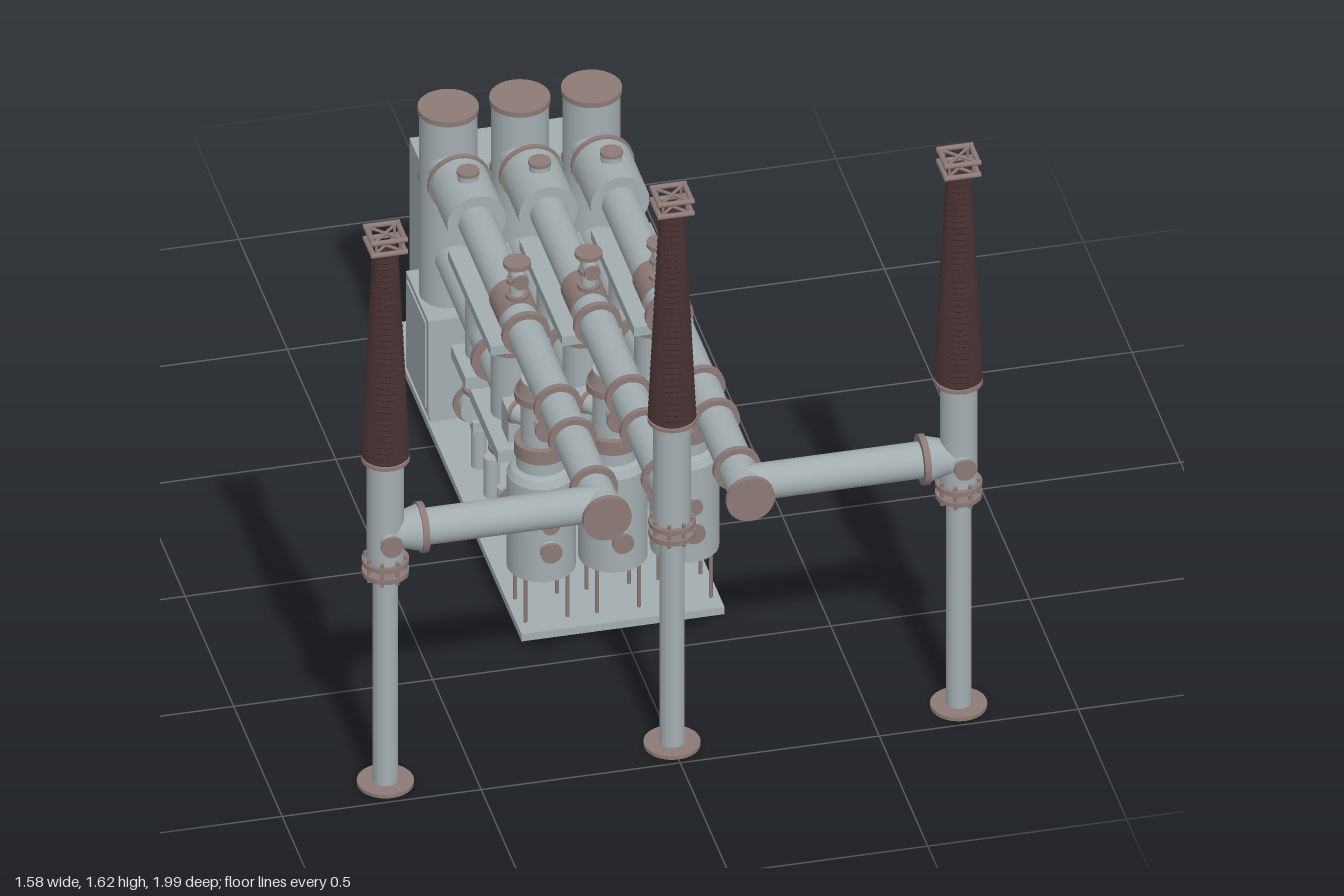
import * as THREE from 'three';
import { toCreasedNormals } from 'three/addons/utils/BufferGeometryUtils.js';

const mat = (color) => new THREE.MeshStandardMaterial({ color });
const steel = mat(0xa3adb0);
const flange = mat(0x8c7a76);
const porcelain = mat(0x402c2b);

const UP = new THREE.Vector3(0, 1, 0);

function add(parent, name, geometry, material, x = 0, y = 0, z = 0) {
  const mesh = new THREE.Mesh(geometry, material);
  mesh.name = name;
  mesh.position.set(x, y, z);
  parent.add(mesh);
  return mesh;
}

// Cylinder from point a to point b; r2 is the radius at b
function rod(parent, name, a, b, r, material = steel, r2 = r, sides = 28) {
  const start = new THREE.Vector3(...a), end = new THREE.Vector3(...b);
  const dir = end.clone().sub(start);
  const mid = start.add(end).multiplyScalar(0.5);
  const mesh = add(parent, name, new THREE.CylinderGeometry(r2, r, dir.length(), sides), material, ...mid);
  mesh.quaternion.setFromUnitVectors(UP, dir.normalize());
  return mesh;
}

// Box from its minimum and maximum on each axis
function box(parent, name, x0, x1, y0, y1, z0, z1, material = steel) {
  return add(parent, name, new THREE.BoxGeometry(x1 - x0, y1 - y0, z1 - z0), material,
    (x0 + x1) / 2, (y0 + y1) / 2, (z0 + z1) / 2);
}

function lathe(parent, name, profile, material, x, z) {
  const points = profile.map(([r, y]) => new THREE.Vector2(r, y));
  return add(parent, name, toCreasedNormals(new THREE.LatheGeometry(points, 28), 0.5), material, x, 0, z);
}

function group(parent, name, x = 0, z = 0) {
  const g = new THREE.Group();
  g.name = name;
  g.position.set(x, 0, z);
  parent.add(g);
  return g;
}

const BUS_Y = 0.735, BUSHING_Z = 0.915;

// Supporting post, gas housing, ribbed insulator and terminal
function bushing(parent, x) {
  const g = group(parent, 'bushing', x, BUSHING_Z);
  rod(g, 'footPlate', [0, 0, 0], [0, 0.01, 0], 0.07, flange);
  rod(g, 'post', [0, 0.01, 0], [0, 0.64, 0], 0.031);
  rod(g, 'housing', [0, 0.64, 0], [0, 0.955, 0], 0.046);
  for (const y of [0.617, 0.648]) rod(g, 'jointFlange', [0, y, 0], [0, y + 0.013, 0], 0.058, flange);
  for (let i = 0; i < 8; i++) {
    const a = (i + 0.5) * Math.PI / 4, bx = 0.05 * Math.cos(a), bz = 0.05 * Math.sin(a);
    rod(g, 'jointBolt', [bx, 0.607, bz], [bx, 0.672, bz], 0.005, flange, 0.005, 8);
  }
  rod(g, 'baseFlange', [0, 0.95, 0], [0, 0.96, 0], 0.06, flange);

  const profile = [[0, 0.96]], sheds = 36, step = 0.61 / sheds;
  for (let i = 0; i < sheds; i++) {
    const y = 0.96 + i * step, r = 0.06 - 0.028 * i / sheds;
    profile.push([r - 0.006, y], [r, y + step * 0.3], [r - 0.006, y + step * 0.9]);
  }
  profile.push([0.027, 1.57], [0, 1.57]);
  lathe(g, 'insulator', profile, porcelain, 0, 0);

  // Two square rings joined by corner posts and crossed bars
  const h = 0.04;
  for (const y of [1.575, 1.61]) {
    for (const s of [-1, 1]) {
      rod(g, 'terminalRing', [-h - 0.006, y, s * h], [h + 0.006, y, s * h], 0.007, flange, 0.007, 10);
      rod(g, 'terminalRing', [s * h, y, -h], [s * h, y, h], 0.007, flange, 0.007, 10);
      rod(g, 'terminalBrace', [-h, y, -s * h], [h, y, s * h], 0.004, flange, 0.004, 8);
    }
  }
  for (const sx of [-1, 1]) for (const sz of [-1, 1])
    rod(g, 'terminalPost', [sx * 0.03, 1.565, sz * 0.03], [sx * 0.03, 1.61, sz * 0.03], 0.004, flange, 0.004, 8);
}

// Bus pipe running from the tall tank to the bushing row
function bus(g, outer) {
  const end = outer ? 0.975 : BUSHING_Z;
  rod(g, 'busPipe', [0, BUS_Y, -0.66], [0, BUS_Y, end], 0.046);
  rod(g, 'tankCone', [0, BUS_Y, -0.57], [0, BUS_Y, -0.61], 0.046, steel, 0.06);
  rod(g, 'currentTransformer', [0, BUS_Y, -0.54], [0, BUS_Y, -0.36], 0.074);
  rod(g, 'transformerFlange', [0, BUS_Y, -0.548], [0, BUS_Y, -0.535], 0.079, flange);
  rod(g, 'topStub', [0, 0.79, -0.45], [0, 0.822, -0.45], 0.026);
  rod(g, 'topStubCap', [0, 0.822, -0.45], [0, 0.83, -0.45], 0.028, flange);
  rod(g, 'busBand', [0, BUS_Y, -0.025], [0, BUS_Y, 0.08], 0.051, flange);
  for (const z of [0.145, 0.475, 0.625, 0.845])
    rod(g, 'busFlange', [0, BUS_Y, z - 0.008], [0, BUS_Y, z + 0.008], 0.06, flange);
  if (outer) rod(g, 'busEndCap', [0, BUS_Y, 0.975], [0, BUS_Y, 0.99], 0.061, flange);

  // Instrument head above the bus
  rod(g, 'headNeck', [0, 0.77, 0.055], [0, 0.88, 0.055], 0.019);
  for (const [y, r] of [[0.785, 0.028], [0.83, 0.026], [0.878, 0.034]])
    rod(g, 'headFlange', [0, y, 0.055], [0, y + 0.011, 0.055], r, flange);
  rod(g, 'headPort', [0, 0.85, 0.02], [0, 0.85, 0.095], 0.018);
  rod(g, 'headPortCap', [0, 0.85, 0.09], [0, 0.85, 0.097], 0.02, flange);
}

// Upright vessel on four legs hung below the bus
function vessel(g) {
  const z = 0.305;
  lathe(g, 'vesselTank', [[0, 0.165], [0.085, 0.165], [0.085, 0.435], [0.075, 0.453], [0.063, 0.46], [0, 0.46]], steel, 0, z);
  lathe(g, 'vesselBottom', [[0, 0.145], [0.045, 0.145], [0.07, 0.155], [0.078, 0.166], [0, 0.166]], flange, 0, z);
  rod(g, 'vesselNeck', [0, 0.455, z], [0, 0.5, z], 0.062);
  rod(g, 'neckFlange', [0, 0.495, z], [0, 0.533, z], 0.067, flange);
  rod(g, 'riser', [0, 0.53, z], [0, 0.71, z], 0.05);
  rod(g, 'riserFlange', [0, 0.655, z], [0, 0.675, z], 0.066, flange);
  rod(g, 'riserSaddle', [0, 0.675, z], [0, 0.705, z], 0.062, flange, 0.05);
  for (const sx of [-1, 1]) for (const sz of [-1, 1]) {
    const lx = sx * 0.053, lz = z + sz * 0.053;
    rod(g, 'leg', [lx, 0.02, lz], [lx, 0.18, lz], 0.005, flange, 0.005, 8);
    rod(g, 'legFoot', [lx, 0.012, lz], [lx, 0.022, lz], 0.009, flange, 0.009, 10);
  }
  // Ports: height, radius, reach and heading about the vessel
  const ports = [[0.605, 0.034, 0.082, 0], [0.335, 0.022, 0.103, 0], [0.262, 0.027, 0.11, 0], [0.265, 0.03, 0.105, Math.PI],
    [0.575, 0.03, 0.085, 2.5], [0.575, 0.03, 0.085, -2.5], [0.645, 0.024, 0.08, Math.PI]];
  for (const [y, r, reach, angle] of ports) {
    const at = (d) => [Math.sin(angle) * d, y, z + Math.cos(angle) * d];
    rod(g, 'vesselPort', at(0.03), at(reach - 0.008), r * 0.85);
    rod(g, 'vesselPortCap', at(reach - 0.01), at(reach), r, flange);
  }
}

// Switch pipe with two upright switches, brackets and drive box
function switchgear(g) {
  const y = 0.475;
  rod(g, 'switchPipe', [0, y, -0.64], [0, y, 0.01], 0.046);
  rod(g, 'switchPipeFlange', [0, y, -0.157], [0, y, -0.14], 0.066, flange);
  for (const z of [-0.005, -0.27]) {
    rod(g, 'switchBody', [0, 0.41, z], [0, 0.605, z], 0.05);
    rod(g, 'switchTopFlange', [0, 0.602, z], [0, 0.615, z], 0.056, flange);
    rod(g, 'switchStem', [0, 0.615, z], [0, 0.65, z], 0.008, flange, 0.008, 10);
    rod(g, 'switchBase', [0, 0.305, z], [0, 0.385, z], 0.047);
    for (const fy of [0.307, 0.34]) rod(g, 'switchBaseFlange', [0, fy, z], [0, fy + 0.011, z], 0.057, flange);
  }
  box(g, 'frontBracket', -0.075, 0.075, 0.38, 0.413, -0.12, 0.165);
  box(g, 'rearBracket', -0.075, 0.075, 0.38, 0.413, -0.32, -0.17);
  box(g, 'upperTray', -0.075, 0.075, 0.645, 0.672, -0.35, 0.09);
  box(g, 'driveBox', -0.045, 0.045, 0.425, 0.512, 0.08, 0.152);
  rod(g, 'driveShaft', [0, 0.47, 0.02], [0, 0.47, 0.085], 0.022);

  // Floor posts, with a round cover on the first and last
  for (const z of [0.058, -0.072, -0.208, -0.34])
    rod(g, 'floorPost', [0, 0.03, z], [0, 0.147, z], 0.019);
  for (const [z, s] of [[0.055, 1], [-0.34, -1]]) {
    rod(g, 'floorDrum', [0, 0.2, z], [0, 0.2, z + s * 0.03], 0.045);
    rod(g, 'floorDrumCover', [0, 0.2, z + s * 0.027], [0, 0.2, z + s * 0.037], 0.057, flange);
    box(g, 'drumBracket', -0.018, 0.018, 0.14, 0.17, z - 0.015, z + 0.015);
  }
}

// Tall breaker tank standing on its mechanism cabinet
function breaker(g) {
  const z = -0.655;
  box(g, 'mechanismCabinet', -0.078, 0.078, 0.06, 0.34, -0.77, -0.54);
  box(g, 'cabinetPlinth', -0.07, 0.07, 0.03, 0.06, -0.757, -0.553);
  box(g, 'cabinetDoor', -0.082, 0.082, 0.075, 0.325, -0.75, -0.56);
  rod(g, 'breakerTank', [0, 0.34, z], [0, 0.873, z], 0.071);
  rod(g, 'breakerTankCap', [0, 0.872, z], [0, 0.886, z], 0.075, flange);
  rod(g, 'rearPort', [0, 0.605, -0.7], [0, 0.605, -0.765], 0.038);
  rod(g, 'rearPortCap', [0, 0.605, -0.765], [0, 0.605, -0.78], 0.046, flange);
}

export function createModel() {
  const model = new THREE.Group();
  model.name = 'gasInsulatedSwitchgear';

  box(model, 'basePlate', -0.255, 0.255, 0.015, 0.036, -1, 0.41);
  box(model, 'controlCabinet', -0.195, 0.195, 0.036, 0.575, -0.995, -0.84);

  for (const x of [-0.18, 0, 0.18]) {
    const g = group(model, 'phase', x);
    bus(g, x !== 0);
    vessel(g);
    switchgear(g);
    breaker(g);
  }

  for (const x of [-0.72, 0, 0.72]) bushing(model, x);

  // Side arms linking the outer buses to the outer bushings
  for (const s of [-1, 1]) {
    rod(model, 'sideArm', [s * 0.18, BUS_Y, BUSHING_Z], [s * 0.72, BUS_Y, BUSHING_Z], 0.046);
    rod(model, 'sideArmFlange', [s * 0.622, BUS_Y, BUSHING_Z], [s * 0.638, BUS_Y, BUSHING_Z], 0.064, flange);
    rod(model, 'sideArmCone', [s * 0.638, BUS_Y, BUSHING_Z], [s * 0.685, BUS_Y, BUSHING_Z], 0.058, steel, 0.045);
    rod(model, 'bushingPort', [s * 0.72, BUS_Y, 0.93], [s * 0.72, BUS_Y, 0.98], 0.022);
    rod(model, 'bushingPortCap', [s * 0.72, BUS_Y, 0.98], [s * 0.72, BUS_Y, 0.99], 0.028, flange);
  }
  return model;
}
